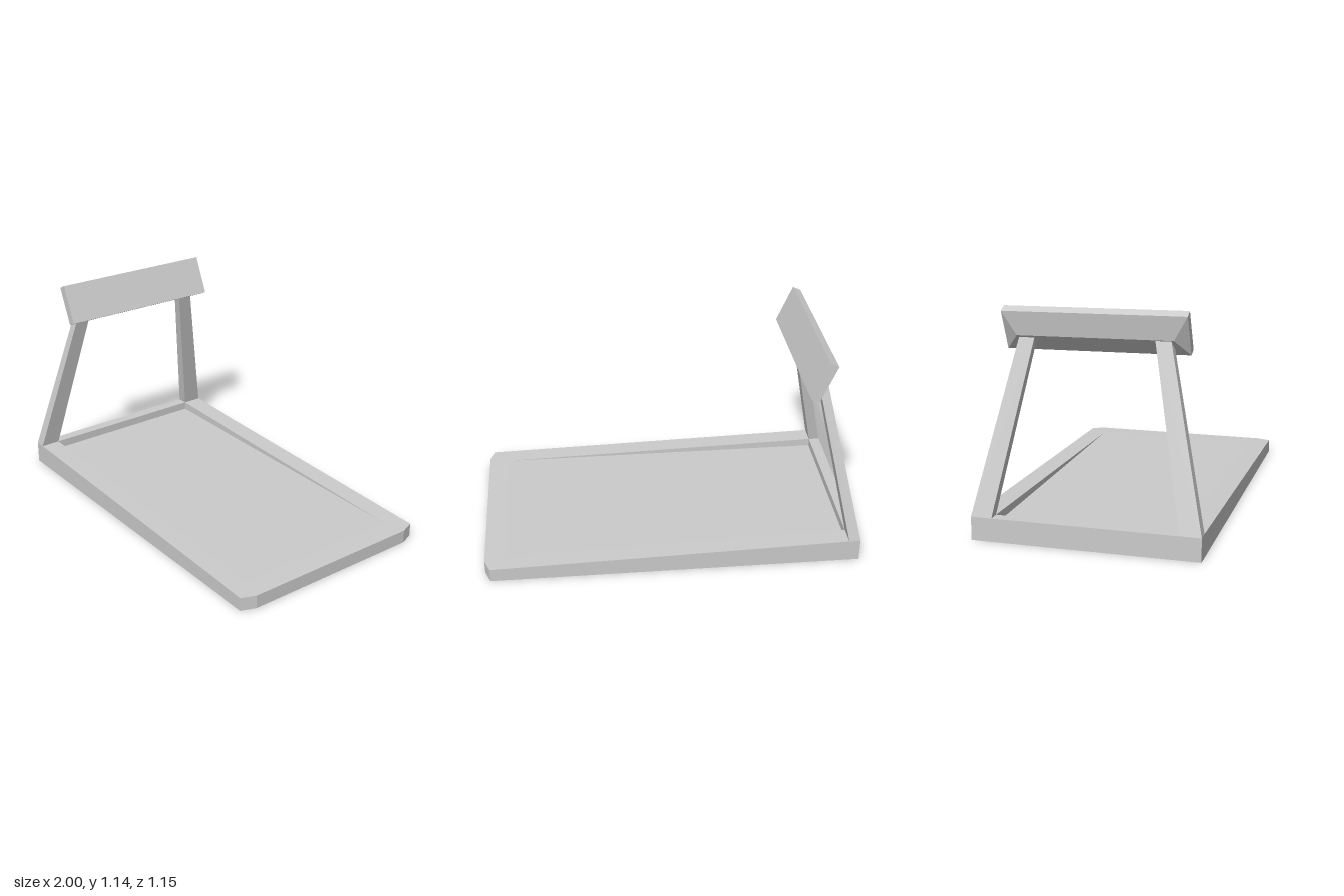
import * as THREE from 'three';
import { ConvexGeometry } from 'three/addons/geometries/ConvexGeometry.js';

const material = new THREE.MeshStandardMaterial({ color: 0xcccccc, flatShading: true });

// Flat-sided solid spanning a list of [x, y, z] corners
function solid(name, corners) {
  const mesh = new THREE.Mesh(
    new ConvexGeometry(corners.map((c) => new THREE.Vector3(...c))), material);
  mesh.name = name;
  return mesh;
}

const BACK = -0.94; // front side of the rear beam and post feet
const INNER = 0.47; // inner side of the rails
const OUTER = 0.577; // outer side of the rails

// Height of the rails, falling gently towards the free end
const railTop = (x) => 0.12 - 0.048 * Math.max(0, x - BACK) / (1 - BACK);

export function createModel() {
  const model = new THREE.Group();
  model.name = 'treadmill';

  const base = new THREE.Group();
  base.name = 'base';
  model.add(base);

  // Side rails with a clipped corner at the free end, and the posts above them
  for (const [side, s] of [['left', 1], ['right', -1]]) {
    const outline = [
      [-1, INNER], [-1, OUTER], [BACK, OUTER], [BACK, INNER],
      [0.97, OUTER], [1, 0.5], [1, INNER],
    ];
    const rail = outline.flatMap(([x, z]) => [[x, 0, s * z], [x, railTop(x), s * z]]);
    base.add(solid(side === 'left' ? 'frontRail' : 'backRail', rail));

    const post = [
      [-1, 0.12, INNER], [-1, 0.12, OUTER], [BACK, 0.12, INNER], [BACK, 0.12, OUTER],
      [-0.8, 1.0, 0.3], [-0.8, 1.0, 0.378], [-0.755, 1.0, 0.3], [-0.755, 1.0, 0.378],
    ].map(([x, y, z]) => [x, y, s * z]);
    model.add(solid(side === 'left' ? 'frontPost' : 'backPost', post));
  }

  // Running deck, sunk below the rails and flush with them near the free end
  const deck = [];
  for (const z of [-INNER, INNER]) {
    for (const [x, y] of [[BACK, 0.075], [0.88, 0.075], [1, 0.072], [1, 0], [BACK, 0]]) {
      deck.push([x, y, z]);
    }
  }
  base.add(solid('runningDeck', deck));

  // Cross beam between the feet of the posts
  const beam = [];
  for (const z of [-INNER, INNER]) {
    for (const x of [-1, BACK]) beam.push([x, 0, z], [x, 0.12, z]);
  }
  base.add(solid('rearBeam', beam));

  // Tilted console: a slab with a narrower ridge along its back, very slightly askew
  const console3d = [];
  const skew = (x, y, z) => [x + 0.012 * z, y + 0.008 * z, z];
  for (const s of [-1, 1]) {
    for (const [x, y] of [[-0.785, 1.141], [-0.698, 0.943], [-0.742, 0.923], [-0.828, 1.12]]) {
      console3d.push(skew(x, y, s * 0.46));
    }
    console3d.push(skew(-0.807, 1.0, s * 0.39));
  }
  model.add(solid('console', console3d));

  return model;
}
